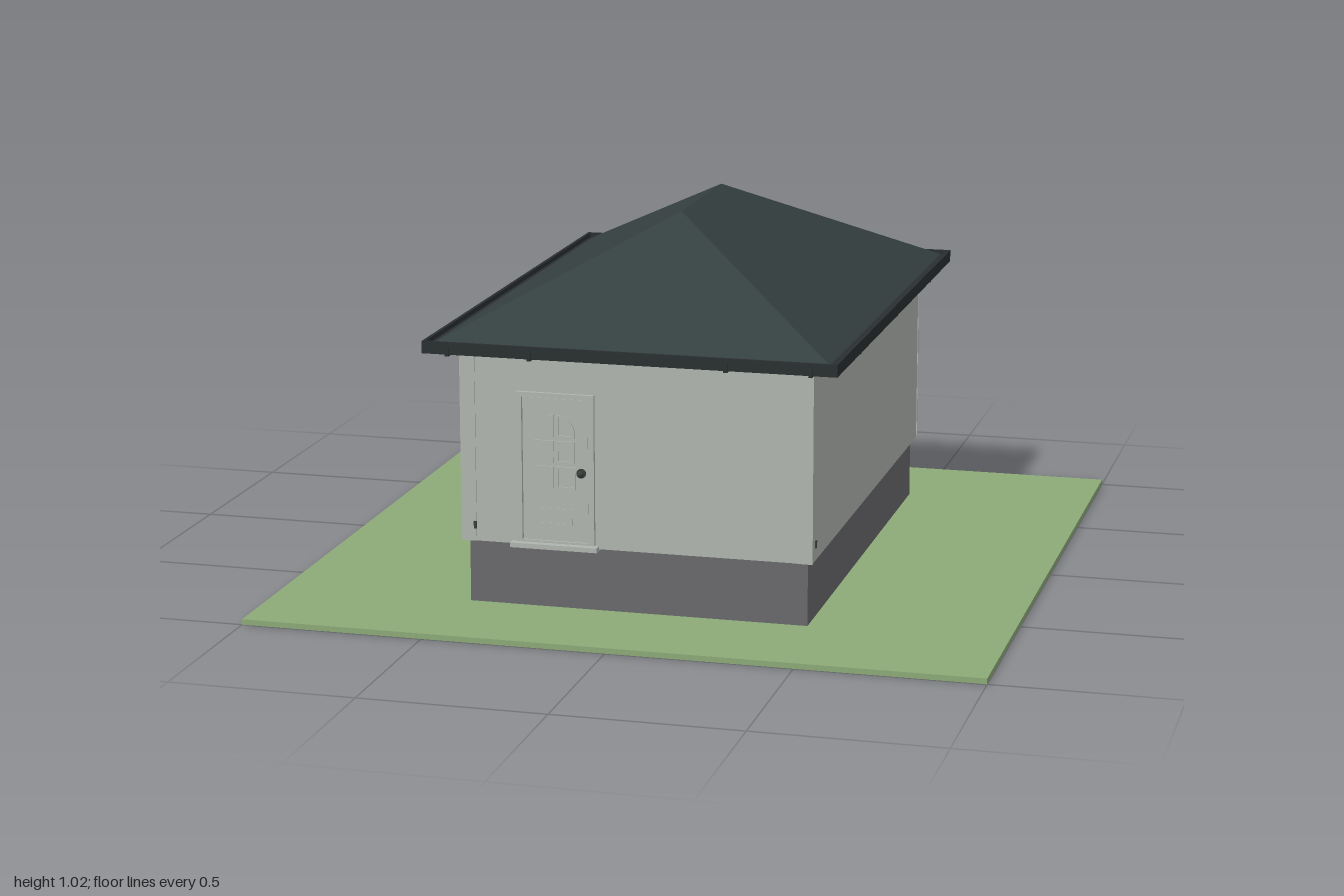
import * as THREE from 'three';

const mat = (name, color) => {
  const m = new THREE.MeshStandardMaterial({ color });
  m.name = name;
  return m;
};

export function createModel() {
  const house = new THREE.Group();
  house.name = 'house';
  const grass = mat('grass green', 0x8caa78);
  const wall = mat('wall grey', 0xb0b5b0);
  const plinth = mat('plinth grey', 0x6a6a6d);
  const slate = mat('slate roof', 0x343f40);
  const gutterMat = mat('gutter dark', 0x2a2f31);
  const metal = mat('dark metal', 0x3a3c3c);

  const add = (name, geo, material, parent = house) => {
    const m = new THREE.Mesh(geo, material);
    m.name = name;
    parent.add(m);
    return m;
  };
  // box given by its lower and upper limits
  const box = (name, [x0, y0, z0], [x1, y1, z1], material, parent) => {
    const m = add(name, new THREE.BoxGeometry(x1 - x0, y1 - y0, z1 - z0), material, parent);
    m.position.set((x0 + x1) / 2, (y0 + y1) / 2, (z0 + z1) / 2);
    return m;
  };
  const rectShape = (x0, y0, x1, y1, Type = THREE.Shape) => new Type([
    new THREE.Vector2(x0, y0), new THREE.Vector2(x1, y0),
    new THREE.Vector2(x1, y1), new THREE.Vector2(x0, y1)]);
  const slab = (shape, depth) =>
    new THREE.ExtrudeGeometry(shape, { depth, bevelEnabled: false, curveSegments: 10 });

  // ground, plinth and walls
  box('lawn', [-1, 0, -1], [1, 0.015, 1], grass);
  box('plinth', [-0.465, 0.016, -0.685], [0.465, 0.19, 0.685], plinth);
  box('walls', [-0.48, 0.19, -0.702], [0.48, 0.725, 0.702], wall);

  // thin boards at the corners of both end walls
  for (const sx of [-1, 1]) for (const sz of [-1, 1]) {
    const b = box('cornerBoard', [0, 0.19, 0], [0.042, 0.72, 0.005], wall);
    b.position.x = sx * 0.461;
    b.position.z = sz * 0.7025;
  }
  // small wall plates low on the walls
  box('wallPlate', [-0.447, 0.225, 0.704], [-0.439, 0.245, 0.708], metal);
  box('wallPlate', [0.48, 0.225, 0.66], [0.484, 0.245, 0.668], metal);

  // hipped roof: one long and one end slope, turned half round for the others
  const e = 0.74, rx = 0.535, rz = 0.755, top = 1.02, ridge = 0.22;
  const slopes = new THREE.BufferGeometry();
  const a = [rx, e, rz], b = [rx, e, -rz], c = [0, top, -ridge], d = [0, top, ridge], f = [-rx, e, rz];
  slopes.setAttribute('position', new THREE.Float32BufferAttribute(
    [a, b, c, a, c, d, f, a, d].flat(), 3));
  slopes.computeVertexNormals();
  add('roofSlopes', slopes, slate);
  add('roofSlopes', slopes, slate).rotation.y = Math.PI;
  box('soffit', [-0.53, 0.721, -0.75], [0.53, 0.739, 0.75], gutterMat);

  // gutter: floor and outer lip running round the eaves
  const eavesRing = (name, inset, y, h) => {
    const s = rectShape(-0.56, -0.78, 0.56, 0.78);
    s.holes.push(rectShape(-0.56 + inset, -0.78 + inset, 0.56 - inset, 0.78 - inset, THREE.Path));
    const m = add(name, slab(s, h), gutterMat);
    m.rotation.x = -Math.PI / 2;
    m.position.y = y;
  };
  eavesRing('gutterFloor', 0.035, 0.715, 0.02);
  eavesRing('gutterLip', 0.009, 0.715, 0.033);
  for (const s of [-1, 1]) {
    for (const x of [-0.49, -0.265, 0.265, 0.49]) {
      const g = box('gutterBracket', [x - 0.005, 0.711, 0], [x + 0.005, 0.735, 0.05], gutterMat);
      g.position.z = s * 0.76;
    }
    for (const z of [-0.48, 0, 0.48]) {
      const g = box('gutterBracket', [0, 0.711, z - 0.005], [0.045, 0.725, z + 0.005], gutterMat);
      g.position.x = s * 0.536;
    }
  }

  // front door
  const door = new THREE.Group();
  door.name = 'frontDoor';
  house.add(door);
  const casing = rectShape(-0.325, 0.2, -0.11, 0.61);
  casing.holes.push(rectShape(-0.309, 0.206, -0.126, 0.597, THREE.Path));
  add('doorCasing', slab(casing, 0.012), wall, door).position.z = 0.7;
  box('doorLeaf', [-0.307, 0.2, 0.7], [-0.128, 0.595, 0.706], wall, door);
  box('doorSill', [-0.34, 0.185, 0.69], [-0.1, 0.198, 0.725], wall, door);

  // pane outline on one side of the door's middle line, with a curved top if asked
  const pane = (Type, side, y0, y1, arched, t) => {
    const p = new Type();
    const inner = side * (0.004 + t), outer = side * (0.055 - t), r = 0.051 - 2 * t;
    p.moveTo(inner, y0 + t);
    p.lineTo(outer, y0 + t);
    if (arched) {
      for (let i = 0; i <= 8; i++) {
        const q = (i / 8) * Math.PI / 2;
        p.lineTo(inner + side * r * Math.cos(q), y1 - t - r + r * Math.sin(q));
      }
    } else {
      p.lineTo(outer, y1 - t);
      p.lineTo(inner, y1 - t);
    }
    p.closePath();
    return p;
  };
  for (const side of [-1, 1]) {
    [[0.35, 0.411, false], [0.42, 0.481, false], [0.49, 0.552, true]].forEach(([y0, y1, arched]) => {
      const s = pane(THREE.Shape, side, y0, y1, arched, 0);
      s.holes.push(pane(THREE.Path, side, y0, y1, arched, 0.006));
      add('paneMoulding', slab(s, 0.005), wall, door).position.set(-0.218, 0, 0.705);
    });
  }
  const letter = rectShape(-0.265, 0.25, -0.171, 0.295);
  letter.holes.push(rectShape(-0.26, 0.255, -0.176, 0.29, THREE.Path));
  add('lowerPanelMoulding', slab(letter, 0.003), wall, door).position.z = 0.705;
  const rose = add('knobRose', new THREE.CylinderGeometry(0.013, 0.013, 0.004, 20), metal, door);
  rose.rotation.x = Math.PI / 2;
  rose.position.set(-0.146, 0.396, 0.708);
  add('doorKnob', new THREE.SphereGeometry(0.009, 16, 10), metal, door).position.set(-0.146, 0.396, 0.716);

  // garage door in the back wall
  const garage = new THREE.Group();
  garage.name = 'garageDoor';
  house.add(garage);
  for (const s of [-1, 1]) {
    box('garageJamb', [-0.0125, 0.168, -0.717], [0.0125, 0.645, -0.685], wall, garage)
      .position.x = s * 0.345;
  }
  box('garageHead', [-0.3575, 0.62, -0.717], [0.3575, 0.645, -0.7], wall, garage);
  const stop = rectShape(-0.333, 0.195, 0.333, 0.62);
  stop.holes.push(rectShape(-0.318, 0.2, 0.318, 0.605, THREE.Path));
  add('garageStop', slab(stop, 0.01), wall, garage).position.z = -0.71;
  box('garagePanel', [-0.325, 0.195, -0.705], [0.325, 0.61, -0.7], wall, garage);
  box('garageHandle', [-0.03, 0.208, -0.715], [0.03, 0.218, -0.704], metal, garage);

  return house;
}
